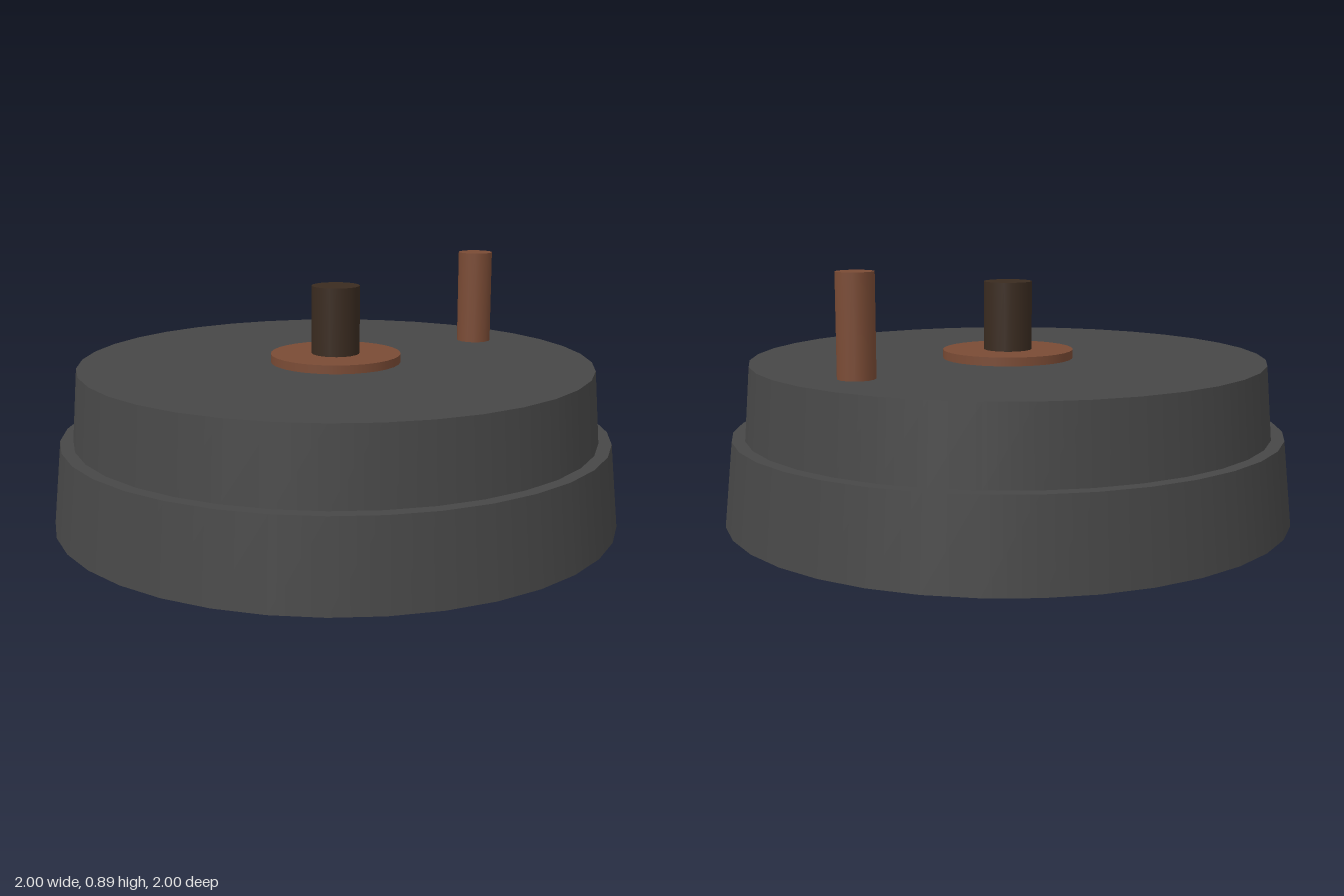
import * as THREE from 'three';

export function createModel() {
  const group = new THREE.Group();
  const material = (name, color) => {
    const m = new THREE.MeshStandardMaterial({ color });
    m.name = name;
    return m;
  };
  const stone = material('dark grey stone', 0x474747);
  const wood = material('reddish brown wood', 0x7a4b35);
  const darkWood = material('dark brown wood', 0x3a2b20);

  // Upright round part standing between two heights
  const addRound = (name, mat, rTop, rBottom, y0, y1, sides, x = 0) => {
    const mesh = new THREE.Mesh(new THREE.CylinderGeometry(rTop, rBottom, y1 - y0, sides), mat);
    mesh.name = name;
    mesh.position.set(x, (y0 + y1) / 2, 0);
    group.add(mesh);
  };

  // Two tapered stones, one on the other
  addRound('lowerStone', stone, 0.97, 1, 0, 0.295, 36);
  addRound('upperStone', stone, 0.905, 0.925, 0.295, 0.55, 36);

  // Central collar and spindle
  addRound('collar', wood, 0.23, 0.23, 0.55, 0.58, 32);
  addRound('spindle', darkWood, 0.085, 0.085, 0.55, 0.82, 20);

  // Turning handle near the rim
  addRound('handle', wood, 0.063, 0.063, 0.55, 0.89, 16, 0.683);

  return group;
}
